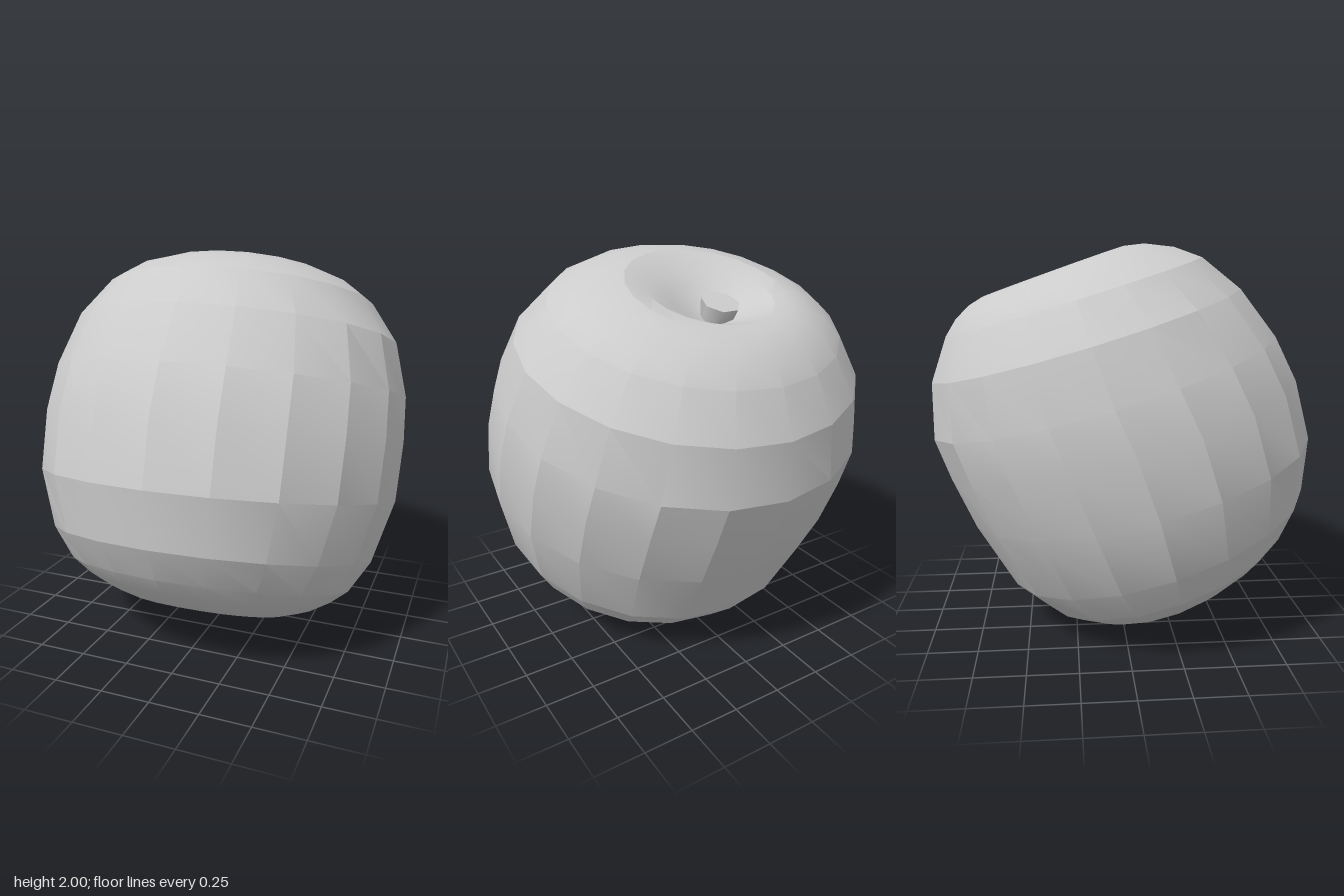
import * as THREE from 'three';
import { toCreasedNormals } from 'three/addons/utils/BufferGeometryUtils.js';

const SEGMENTS = 20;

// Rings from stem dimple to blossom dimple:
// [front radius, front height, back radius, back height, side radius]
const RINGS = [
  [-0.08, 0.78, 0.08, 0.78, 0],
  [0.03, 0.81, 0.17, 0.81, 0.10],
  [0.13, 0.855, 0.25, 0.865, 0.19],
  [0.26, 0.90, 0.35, 0.925, 0.31],
  [0.37, 0.915, 0.42, 0.93, 0.40],
  [0.47, 0.89, 0.50, 0.914, 0.50],
  [0.61, 0.82, 0.59, 0.872, 0.62],
  [0.725, 0.725, 0.67, 0.81, 0.72],
  [0.854, 0.514, 0.82, 0.628, 0.86],
  [0.945, 0.23, 0.92, 0.365, 0.935],
  [0.974, -0.02, 0.92, 0.15, 0.95],
  [0.944, -0.33, 0.90, -0.13, 0.94],
  [0.827, -0.587, 0.83, -0.51, 0.85],
  [0.69, -0.727, 0.72, -0.70, 0.75],
  [0.57, -0.80, 0.64, -0.775, 0.66],
  [0.45, -0.852, 0.55, -0.845, 0.56],
  [0.37, -0.88, 0.41, -0.92, 0.41],
  [0.28, -0.895, 0.29, -0.94, 0.29],
  [0.17, -0.89, 0.10, -0.91, 0.14],
  [0.05, -0.87, -0.05, -0.87, 0],
];

// Loft lopsided rings into a faceted fruit body
function bodyGeometry() {
  const positions = [];
  const index = [];
  for (const [rf, hf, rb, hb, side] of RINGS) {
    for (let j = 0; j < SEGMENTS; j++) {
      const a = (j / SEGMENTS) * Math.PI * 2;
      const t = (1 + Math.cos(a)) / 2;
      positions.push(
        side * Math.sin(a),
        THREE.MathUtils.lerp(hb, hf, t),
        THREE.MathUtils.lerp(-rb, rf, t),
      );
    }
  }
  const bands = RINGS.length - 1;
  for (let i = 0; i < bands; i++) {
    for (let j = 0; j < SEGMENTS; j++) {
      const k = (j + 1) % SEGMENTS;
      const a = i * SEGMENTS + j, d = i * SEGMENTS + k;
      const b = a + SEGMENTS, c = d + SEGMENTS;
      // the first and last bands close to a point with one triangle each
      if (i < bands - 1) index.push(a, b, c);
      else index.push(a, b, d);
      if (i > 0 && i < bands - 1) index.push(a, c, d);
    }
  }
  const geometry = new THREE.BufferGeometry();
  geometry.setAttribute('position', new THREE.Float32BufferAttribute(positions, 3));
  geometry.setIndex(index);
  return toCreasedNormals(geometry, 0.305);
}

export function createModel() {
  const material = new THREE.MeshStandardMaterial({ color: 0xcccccc });
  const model = new THREE.Group();
  model.name = 'apple';

  // The whole fruit leans backwards
  const fruit = new THREE.Group();
  fruit.name = 'fruit';
  fruit.position.y = 1;
  fruit.rotation.x = THREE.MathUtils.degToRad(-20.5);
  model.add(fruit);

  const add = (name, geometry, x, y, z) => {
    const mesh = new THREE.Mesh(geometry, material);
    mesh.name = name;
    mesh.position.set(x, y, z);
    fruit.add(mesh);
  };

  add('body', bodyGeometry(), 0, 0, 0);

  // Short cut stem inside the top dimple
  const stem = toCreasedNormals(new THREE.CylinderGeometry(0.095, 0.07, 0.14, 7), 0.95);
  add('stem', stem, -0.04, 0.81, -0.09);

  // Small blossom nub in the bottom dimple
  add('blossomNub', new THREE.SphereGeometry(0.035, 8, 6), 0, -0.89, 0.05);

  return model;
}
